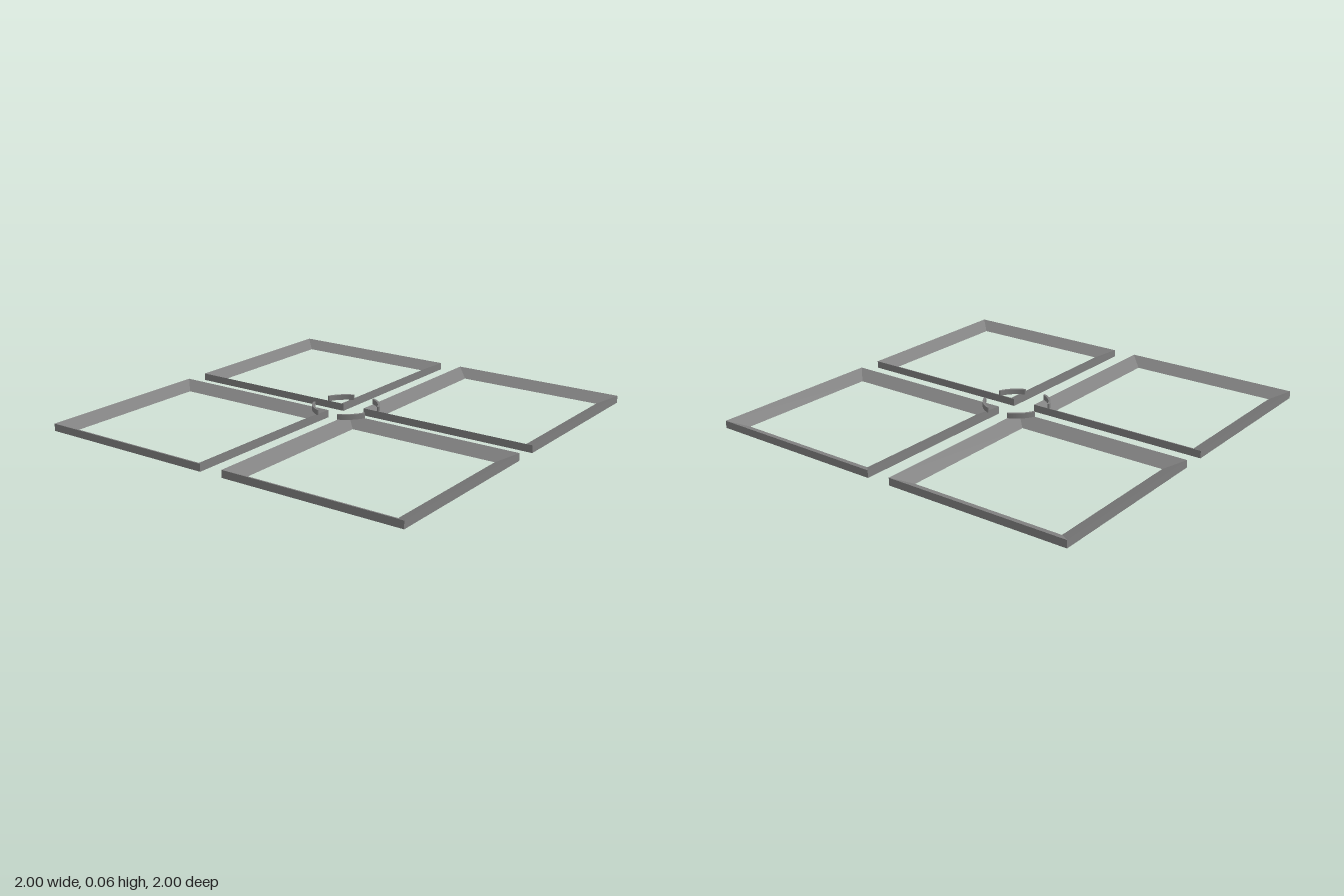
import * as THREE from 'three';

const GAP = 0.0625;        // distance from the centre lines to each frame
const HEIGHT = 0.037;      // frame height
const BAR = 0.08;          // frame bar width
const GREY = 0x808080;

export function createModel() {
  const model = new THREE.Group();
  const frameMaterial = new THREE.MeshStandardMaterial({ color: GREY, flatShading: true });
  const ribMaterial = new THREE.MeshStandardMaterial({ color: GREY });

  // Mitred square frame: wedge profile, upright outside, sloping down to the opening
  const half = (1 - GAP) / 2;
  const profile = [
    [half - BAR, 0], [half, 0], [half, HEIGHT], [half - BAR, 0],
  ].map(([r, y]) => new THREE.Vector2(r * Math.SQRT2, y));
  const frameGeometry = new THREE.LatheGeometry(profile, 4, Math.PI / 4);

  // Curved rib: an eighth of a ring with rounded ends
  const mid = 0.163, t = 0.006, a0 = Math.PI / 8, a1 = 3 * Math.PI / 8;
  const shape = new THREE.Shape();
  shape.absarc(0, 0, mid + t, a0, a1, false);
  shape.absarc(mid * Math.cos(a1), mid * Math.sin(a1), t, a1, a1 + Math.PI, false);
  shape.absarc(0, 0, mid - t, a1, a0, true);
  shape.absarc(mid * Math.cos(a0), mid * Math.sin(a0), t, a0 + Math.PI, a0 + 2 * Math.PI, false);
  const ribGeometry = new THREE.ExtrudeGeometry(shape, {
    depth: 0.026, bevelEnabled: false, curveSegments: 12,
  });
  ribGeometry.rotateX(-Math.PI / 2);
  ribGeometry.translate(0, HEIGHT, 0);

  // Four quarters, turned about the centre
  for (let i = 0; i < 4; i++) {
    const quarter = new THREE.Group();
    quarter.name = `quarter${i + 1}`;
    quarter.rotation.y = i * Math.PI / 2;

    const frame = new THREE.Mesh(frameGeometry, frameMaterial);
    frame.name = 'squareFrame';
    frame.position.set(GAP + half, 0, -GAP - half);

    const rib = new THREE.Mesh(ribGeometry, ribMaterial);
    rib.name = 'curvedRib';

    quarter.add(frame, rib);
    model.add(quarter);
  }
  return model;
}
